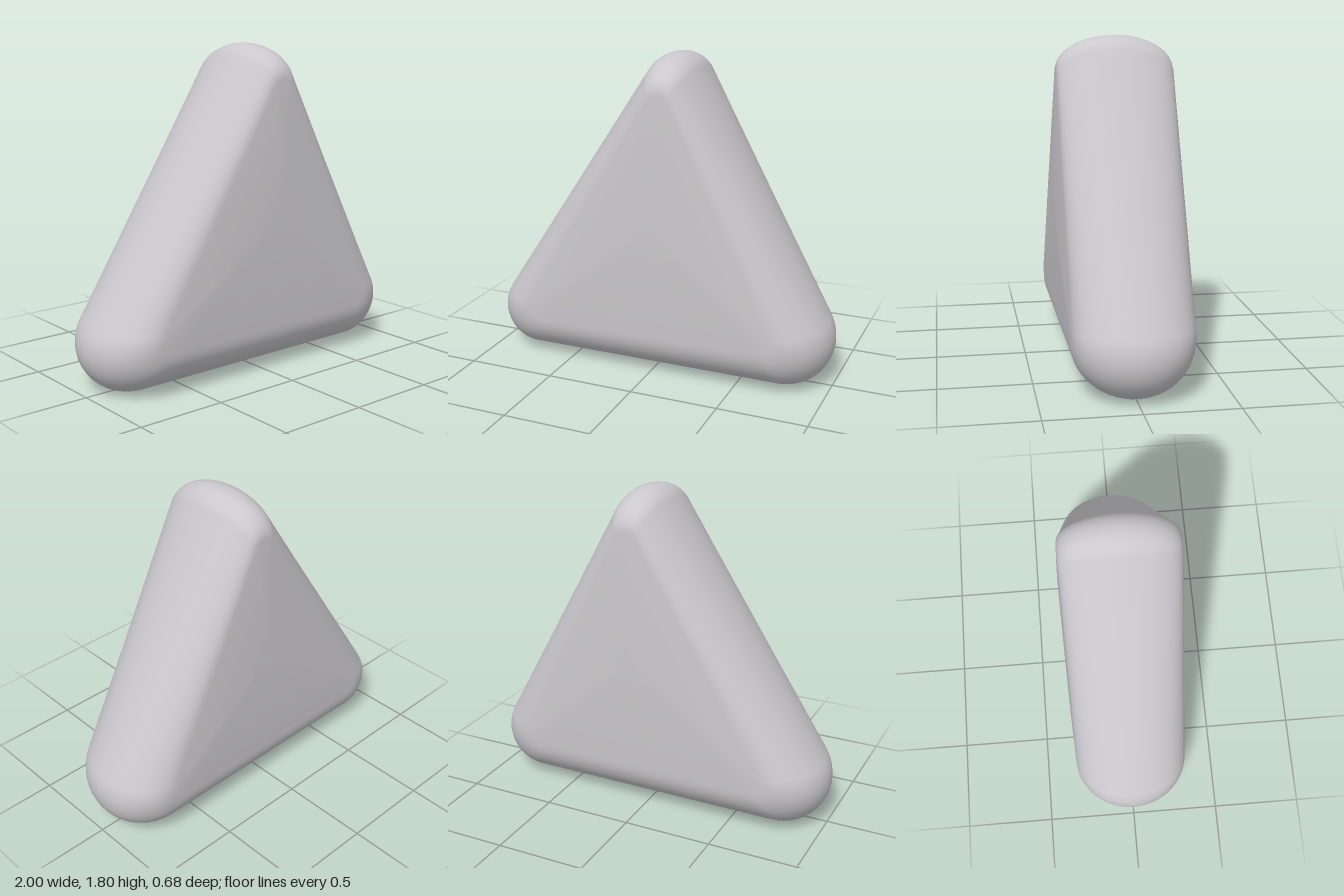
import * as THREE from 'three';

const HALF_DEPTH = 0.32;
const DOME = 0.018;
const CENTER = new THREE.Vector2(0.05, 0.9);

// Corner circles [x, y, radius]: bottom right, top, bottom left
const OUTER = [[0.75, 0.25, 0.25], [0.08, 1.65, 0.15], [-0.77, 0.23, 0.23]];
const INNER = [[0.66, 0.32, 0.06], [0.08, 1.56, 0.06], [-0.66, 0.31, 0.06]];
// Start and end angle of each corner arc, in degrees
const ARCS = [[-90, 29.3], [29.3, 146.5], [146.5, 270]];

// Counter-clockwise rounded triangle with evenly split arcs and edges
function outline(corners, arcSteps = 16, edgeSteps = 14) {
  const at = (k, t) => {
    const [x, y, r] = corners[k];
    const a = THREE.MathUtils.degToRad(THREE.MathUtils.lerp(ARCS[k][0], ARCS[k][1], t));
    return new THREE.Vector2(x + r * Math.cos(a), y + r * Math.sin(a));
  };
  const points = [];
  for (let k = 0; k < 3; k++) {
    for (let i = 0; i < arcSteps; i++) points.push(at(k, i / arcSteps));
    const from = at(k, 1), to = at((k + 1) % 3, 0);
    for (let i = 0; i < edgeSteps; i++) points.push(from.clone().lerp(to, i / edgeSteps));
  }
  return points;
}

// Loops run from the front centre, over the rounded rim, to the back centre
function pillowGeometry() {
  const outer = outline(OUTER), inner = outline(INNER), n = inner.length;
  const rings = [];
  const faceSteps = 10, rimSteps = 28;
  const face = (s, side) => ({
    points: inner.map((p) => CENTER.clone().lerp(p, s)),
    z: side * (HALF_DEPTH + DOME * (1 - s * s)),
  });
  for (let i = 0; i < faceSteps; i++) rings.push(face(i / faceSteps, 1));
  for (let i = 0; i <= rimSteps; i++) {
    const a = Math.PI * (0.5 - i / rimSteps);
    rings.push({
      points: inner.map((p, j) => p.clone().lerp(outer[j], Math.cos(a))),
      z: HALF_DEPTH * Math.sin(a),
    });
  }
  for (let i = faceSteps - 1; i >= 0; i--) rings.push(face(i / faceSteps, -1));

  const positions = [], index = [];
  rings.forEach(({ points, z }) => points.forEach((p) => positions.push(p.x, p.y, z)));
  for (let r = 0; r < rings.length - 1; r++) {
    for (let j = 0; j < n; j++) {
      const k = (j + 1) % n;
      const a = r * n + j, b = r * n + k, c = a + n, d = b + n;
      index.push(a, c, b, b, c, d);
    }
  }
  const geometry = new THREE.BufferGeometry();
  geometry.setAttribute('position', new THREE.Float32BufferAttribute(positions, 3));
  geometry.setIndex(index);
  geometry.computeVertexNormals();
  return geometry;
}

export function createModel() {
  const group = new THREE.Group();
  group.name = 'roundedTriangle';
  const paleGrey = new THREE.MeshStandardMaterial({ color: 0xcac8cc });
  paleGrey.name = 'paleGrey';
  const body = new THREE.Mesh(pillowGeometry(), paleGrey);
  body.name = 'triangularBody';
  group.add(body);
  return group;
}
